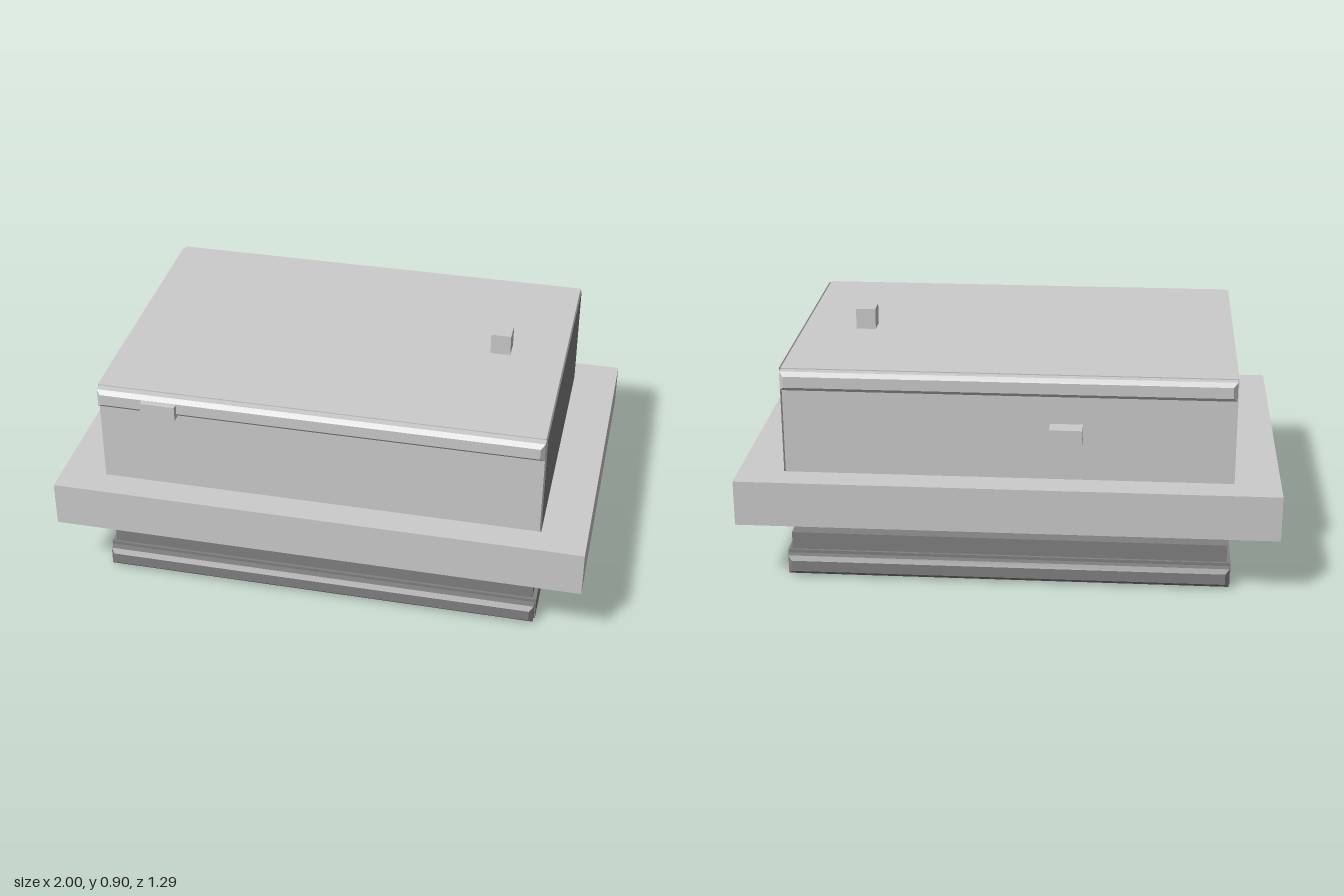
import * as THREE from 'three';

const light = new THREE.MeshStandardMaterial({ color: 0xcccccc });
const dark = new THREE.MeshStandardMaterial({ color: 0x808080 });

// Box given by its minimum and maximum corners
function box(name, [x0, y0, z0], [x1, y1, z1], material = light) {
  const mesh = new THREE.Mesh(new THREE.BoxGeometry(x1 - x0, y1 - y0, z1 - z0), material);
  mesh.position.set((x0 + x1) / 2, (y0 + y1) / 2, (z0 + z1) / 2);
  mesh.name = name;
  return mesh;
}

// Long rail whose outer face is bevelled on all four edges
function rail(name, y, side, material) {
  const w = 0.825, h = 0.036, bevel = 0.015;
  const shape = new THREE.Shape();
  shape.moveTo(-w + bevel, -h + bevel);
  shape.lineTo(w - bevel, -h + bevel);
  shape.lineTo(w - bevel, h - bevel);
  shape.lineTo(-w + bevel, h - bevel);
  const geometry = new THREE.ExtrudeGeometry(shape, {
    depth: 0.04, bevelThickness: bevel, bevelSize: bevel, bevelSegments: 1,
  });
  const mesh = new THREE.Mesh(geometry, material);
  mesh.position.set(0, y, side * 0.522);
  if (side < 0) mesh.rotation.y = Math.PI;
  mesh.name = name;
  return mesh;
}

export function createModel() {
  const model = new THREE.Group();
  model.name = 'case';

  // Lower tray: plate, raised lip and foot disc
  model.add(box('basePlate', [-0.83, 0.005, -0.535], [0.83, 0.093, 0.535], dark));
  model.add(box('baseLip', [-0.815, 0.09, -0.525], [0.815, 0.16, 0.525], dark));
  const foot = new THREE.Mesh(new THREE.CylinderGeometry(0.113, 0.113, 0.02, 32), light);
  foot.position.set(0.64, 0.01, 0.03);
  foot.name = 'footDisc';
  model.add(foot);

  // Wide flange and upper housing with its darker end panel
  model.add(box('flange', [-1, 0.24, -0.645], [1, 0.413, 0.645]));
  model.add(box('housing', [-0.83, 0.4, -0.535], [0.824, 0.82, 0.535]));
  model.add(box('endPanel', [0.824, 0.4, -0.535], [0.83, 0.82, 0.535], dark));

  // Rails along the front and back of both halves
  for (const side of [1, -1]) {
    const end = side > 0 ? 'front' : 'back';
    model.add(rail(end + 'BaseRail', 0.045, side, dark));
    model.add(rail(end + 'HousingRail', 0.78, side, light));
  }

  // Small buttons
  model.add(box('frontButton', [-0.65, 0.743, 0.53], [-0.52, 0.8, 0.6]));
  model.add(box('backButton', [-0.275, 0.573, -0.6], [-0.155, 0.63, -0.53]));
  model.add(box('topButton', [0.545, 0.81, -0.068], [0.62, 0.9, 0.008]));

  return model;
}
